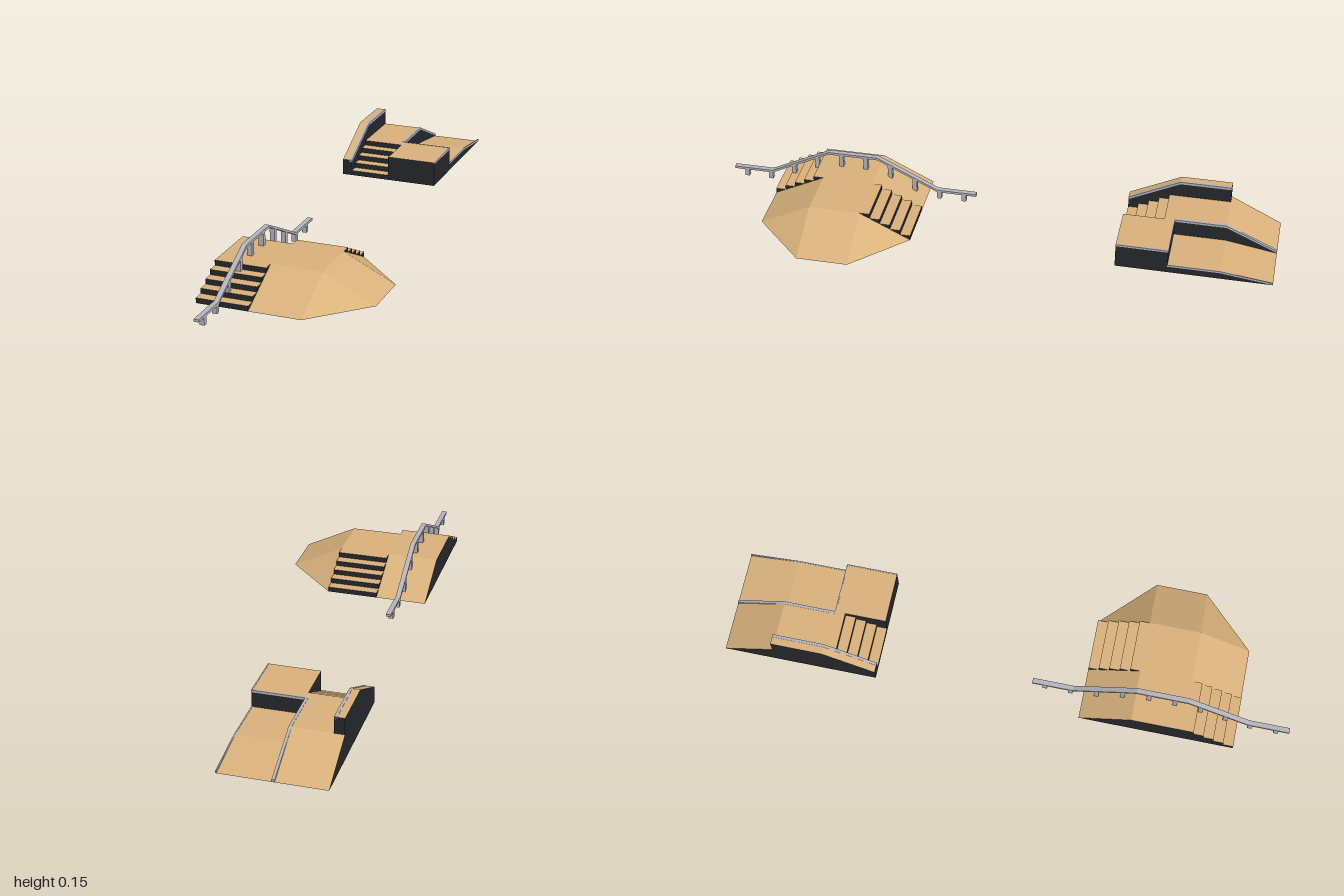
import * as THREE from 'three';

const wood = new THREE.MeshStandardMaterial({ color: 0xd9b27c, side: THREE.DoubleSide });
const dark = new THREE.MeshStandardMaterial({ color: 0x26282d, side: THREE.DoubleSide });
const metal = new THREE.MeshStandardMaterial({ color: 0xb4b4bc });

// Everything sits on a square module C with deck height H
const C = 2 / 11, H = 1 / 11, STEPS = 5, LOW = 0.03, T = 0.009;
const X = [-1.5 * C, -0.5 * C, 0.5 * C, 1.5 * C];

function add(parent, name, geometry, material) {
  const mesh = new THREE.Mesh(geometry, material);
  mesh.name = name;
  parent.add(mesh);
  return mesh;
}

// Flat faces given as lists of [x, y, z] corners
function faces(polygons) {
  const position = [];
  for (const p of polygons)
    for (let i = 1; i < p.length - 1; i++) position.push(...p[0], ...p[i], ...p[i + 1]);
  const geometry = new THREE.BufferGeometry();
  geometry.setAttribute('position', new THREE.Float32BufferAttribute(position, 3));
  geometry.computeVertexNormals();
  return geometry;
}

const zyShape = pts => new THREE.Shape(pts.map(([z, y]) => new THREE.Vector2(z, y)));

// Open-bottomed block: a [z, y] profile (z rising) swept from x0 to x1
function block(parent, name, x0, x1, pts) {
  const group = new THREE.Group();
  group.name = name;
  parent.add(group);
  const first = pts[0], last = pts[pts.length - 1];
  const line = [[first[0], 0], ...pts, [last[0], 0]];
  const tops = [], walls = [];
  for (let i = 0; i < line.length - 1; i++) {
    const [za, ya] = line[i], [zb, yb] = line[i + 1];
    if (za === zb && ya === yb) continue;
    (za === zb ? walls : tops).push([[x0, ya, za], [x0, yb, zb], [x1, yb, zb], [x1, ya, za]]);
  }
  add(group, name + 'Surface', faces(tops), wood);
  if (walls.length) add(group, name + 'Risers', faces(walls), dark);
  const outline = line.filter((p, i) => !i || p[0] !== line[i - 1][0] || p[1] !== line[i - 1][1]);
  for (const x of [x0, x1]) {
    const side = add(group, name + 'Side', new THREE.ShapeGeometry(zyShape(outline)), dark);
    side.rotation.y = -Math.PI / 2;
    side.position.x = x;
  }
}

// Metal bar following a [z, y] line along its top
function bar(parent, name, x0, x1, pts, t = T) {
  const under = pts.map(([z, y]) => [z, y - t]).reverse();
  const geometry = new THREE.ExtrudeGeometry(zyShape([...pts, ...under]), { depth: x1 - x0, bevelEnabled: false });
  const mesh = add(parent, name, geometry, metal);
  mesh.rotation.y = -Math.PI / 2;
  mesh.position.x = x1;
}

// Stair profile: dir 1 descends toward +z, -1 descends toward -z
function stairs(zTop, dir) {
  const pts = [];
  for (let i = 0; i < STEPS; i++) {
    const y = H * (1 - i / STEPS);
    pts.push([zTop + dir * C * i / STEPS, y], [zTop + dir * C * (i + 1) / STEPS, y]);
  }
  return dir > 0 ? pts : pts.reverse();
}

function buildFunBox() {
  const box = new THREE.Group();
  box.name = 'funBox';
  const Z = [1.5 * C, 2.5 * C, 3.5 * C, 4.5 * C];

  block(box, 'frontStairs', X[0], X[1], stairs(Z[2], 1));
  block(box, 'backStairs', X[1], X[2], stairs(Z[1], -1));
  block(box, 'frontRamp', X[1], X[2], [[Z[2], H], [Z[3], 0]]);
  block(box, 'backRamp', X[0], X[1], [[Z[0], 0], [Z[1], H]]);
  for (const i of [0, 1]) block(box, 'deck', X[i], X[i + 1], [[Z[1], H], [Z[2], H]]);

  // Side ramp and its two hipped corners
  const a = [X[2], H, Z[1]], b = [X[2], H, Z[2]], c = [X[3], 0, Z[2]], d = [X[3], 0, Z[1]];
  const af = [X[2], 0, Z[1]], bf = [X[2], 0, Z[2]], front = [X[2], 0, Z[3]], back = [X[2], 0, Z[0]];
  add(box, 'sideRamp', faces([[a, b, c, d]]), wood);
  add(box, 'cornerRamps', faces([[b, front, c], [a, d, back]]), wood);
  add(box, 'sideRampWalls', faces([[af, bf, b, a], [b, bf, c], [a, d, af], [b, front, bf], [a, af, back]]), dark);

  // Handrail over stairs, deck and ramp
  const rail = new THREE.Group();
  rail.name = 'handrail';
  box.add(rail);
  const low = 0.036, high = 0.146, mid = 3 * C, half = C / 2, foot = half + 0.22;
  const railY = z => high - (high - low) * THREE.MathUtils.clamp((Math.abs(z - mid) - half) / (foot - half), 0, 1);
  const floorY = z => {
    if (z > Z[3] || z < Z[0]) return 0;
    if (z > Z[2]) return H * (1 - Math.floor((z - Z[2]) / C * STEPS) / STEPS);
    return z < Z[1] ? H * (z - Z[0]) / C - 0.005 : H;
  };
  const w = 0.018, x = -C;
  bar(rail, 'railBar', x - w / 2, x + w / 2,
    [0.5 * C, mid - foot, mid - half, mid + half, mid + foot, 1].map(z => [z, railY(z)]));
  for (let i = 0; i < 10; i++) {
    const z = 0.75 * C + i * C / 2, y0 = floorY(z), y1 = railY(z) - T * 0.6;
    add(rail, 'railPost', new THREE.BoxGeometry(w * 0.96, y1 - y0, 0.016), metal).position.set(x, (y0 + y1) / 2, z);
  }
  return box;
}

function buildLedgeBox() {
  const box = new THREE.Group();
  box.name = 'ledgeBox';
  const Z = [-1, -4.5 * C, -3.5 * C, -2.5 * C];
  const xl = X[0] + 0.035, top = 0.15;
  const ledge = [[Z[1], top], [Z[2], top], [Z[3], top - H]];

  block(box, 'ledge', X[0], xl, ledge);
  block(box, 'stairs', xl, X[1], stairs(Z[2], 1));
  block(box, 'upperDeck', xl, X[1], [[Z[1], H], [Z[2], H]]);
  block(box, 'highRamp', X[0], X[1], [[Z[0], 0], [Z[1], H]]);
  block(box, 'platform', X[1], X[2], [[Z[2], H], [Z[3], H]]);
  block(box, 'lowDeck', X[1], X[2], [[Z[1], LOW], [Z[2], LOW]]);
  block(box, 'lowRamp', X[1], X[2], [[Z[0], 0], [Z[1], LOW]]);

  // Metal edging, standing a hair proud of the surfaces
  const e = 0.001;
  const lift = pts => pts.map(([z, y]) => [z, y + e]);
  bar(box, 'ledgeCoping', xl - T, xl + e, lift(ledge));
  bar(box, 'deckCoping', X[1] - T, X[1] + e, lift([[Z[0], 0.008], [Z[1], H], [Z[2], H]]), 0.008);
  bar(box, 'lowEdging', X[2] - 0.003, X[2] + e, lift([[Z[0], 0.007], [Z[1], LOW], [Z[2], LOW]]), 0.007);
  bar(box, 'platformEdging', X[2] - 0.003, X[2] + e, lift([[Z[2], H], [Z[3], H]]), 0.007);
  add(box, 'platformBackEdging', new THREE.BoxGeometry(C, 0.008, 0.004), metal)
    .position.set(0, H + e - 0.004, Z[2] + 0.001);
  return box;
}

export function createModel() {
  const model = new THREE.Group();
  model.name = 'skatePark';
  model.add(buildFunBox(), buildLedgeBox());
  return model;
}
